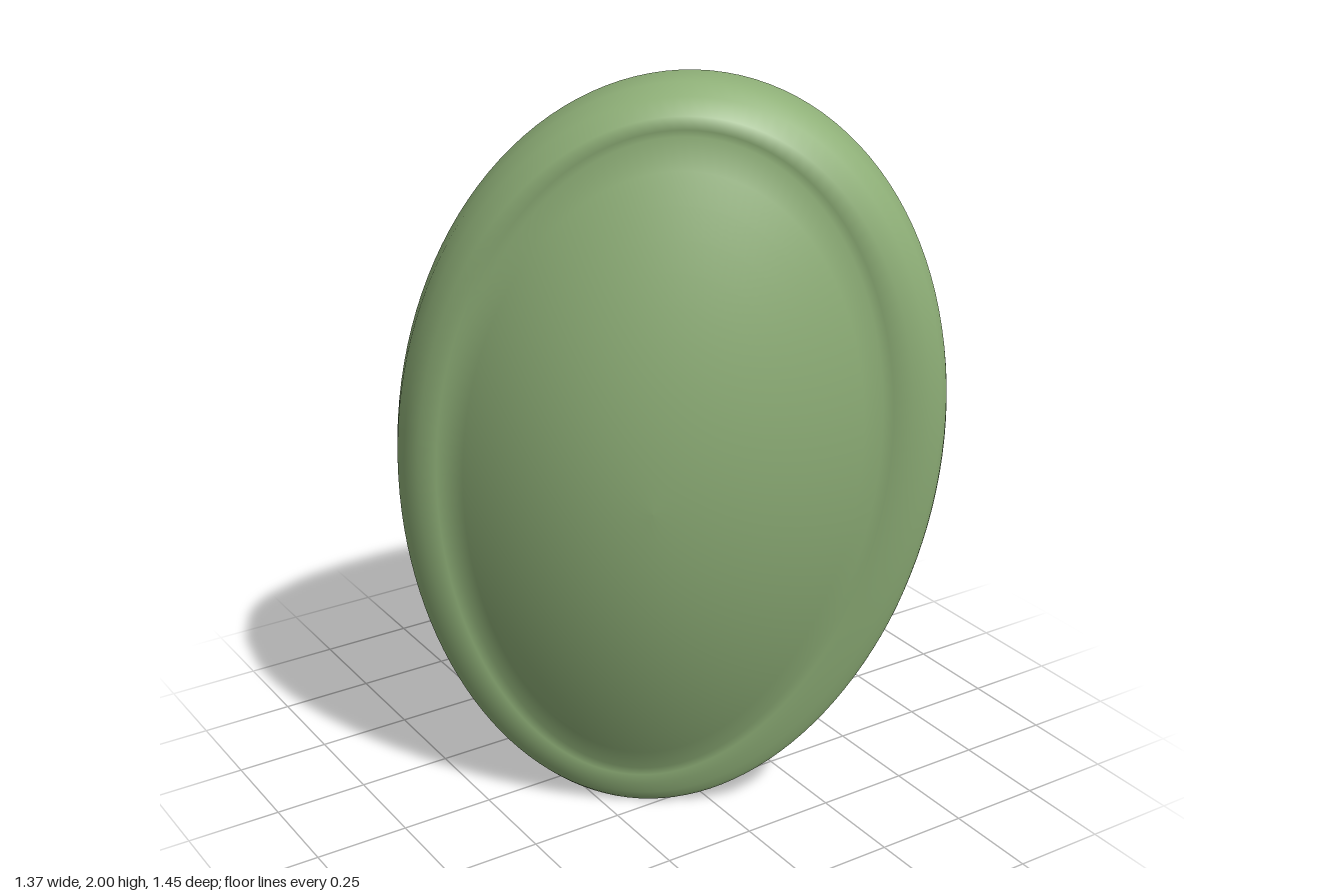
import * as THREE from 'three';

const COLS = 128;
const START = -0.41; // angle on the dish rim where the hood opening begins
const V = (u, y, w) => new THREE.Vector3(u, y, w);
const { lerp } = THREE.MathUtils;

// Working frame: u runs across the dish, y is up, w runs from the dish to the hood tip.
const toWorld = p => V(0.78 * p.x + 0.62 * p.z, p.y, 0.62 * p.x - 0.78 * p.z);

// Point of the egg-shaped dish at angle a and radius r (0 centre, 1 rim), half width h.
function dish(a, r, h = 0.68) {
  const y = 1 + r * Math.sin(a);
  return V(0.02 + 0.07 * y + h * r * (1 + 0.05 * Math.sin(a)) * Math.cos(a), y, 0);
}
const creaseW = p => -0.3 - 0.1 * p.y + 0.06 * p.x;

// Rear edge of the dish rim, where the hood starts.
function rim(a) {
  const p = dish(a, 1);
  return p.setZ(-0.27 - 0.03 * p.y);
}

// Lower edge of the hood; along the bottom of the dish it stays near the rim.
function edge(a) {
  const f = (a - START) / (Math.PI - 2 * START) * Math.PI;
  if (f <= 0 || f >= Math.PI) {
    const p = rim(a), k = Math.abs(Math.cos(a)) / Math.cos(START);
    return p.setZ(p.z + 0.03 + 0.14 * k * k);
  }
  const c = Math.cos(f), s = Math.sin(f);
  const lift = Math.sin(Math.PI / 2 * Math.min(1, f / 0.22, (Math.PI - f) / 0.22));
  const arch = 0.2 * Math.max(0, -c) * Math.sqrt(s);
  return V(
    0.055 * (1 - s) + 0.615 * Math.sign(c) * Math.abs(c) ** 1.1,
    0.6 + (0.14 - 0.16 * s) * lift + arch,
    -0.12 + 0.9 * s);
}

// One rib: front face, rolled rim, hood outside, lip, hood inside, inner face.
function rib(a) {
  const pts = [];
  // domed front face
  for (let i = 0; i <= 12; i++) {
    const k = i / 12, p = dish(a, 0.88 * k, 0.6);
    pts.push(p.setZ(creaseW(p) - 0.22 * (1 - k * k)));
  }
  // rolled rim
  const R = rim(a), E = edge(a);
  for (const [r, h, t] of [[0.9, 0.615, -0.1], [0.93, 0.645, -0.03], [0.965, 0.665, 0.25], [0.988, 0.676, 0.6]]) {
    const p = dish(a, r, h);
    pts.push(p.setZ(lerp(creaseW(p), R.z, t)));
  }
  // hood slope, then its rounded end
  const drop = Math.max(0, R.y - E.y), d = R.distanceTo(E);
  const from = (k, dy, dw) => V(lerp(E.x, R.x, k), E.y + dy * drop, E.z + dw * drop);
  const K = from(0.12, 0.22, 0);
  const slope = new THREE.CubicBezierCurve3(
    R,
    V(R.x + 0.02 * Math.cos(a), R.y - 0.09 * drop, R.z + 0.14 * d),
    from(0.5, 0.45, -0.19),
    K);
  const end = new THREE.QuadraticBezierCurve3(K, from(0.03, 0.09, 0.06), E);
  const outer = [...slope.getPoints(20), ...end.getPoints(8).slice(1)];
  const core = V(0.05, 0.95, -0.05);
  const inward = (p, t) => p.clone().add(core.clone().sub(p).setLength(t));
  const inner = outer.map(p => inward(p, 0.055)).reverse();
  pts.push(...outer);
  // rounded lip
  const lip = inward(E, 0.028);
  lip.y -= 0.012 * Math.min(1, d * 4);
  lip.z += 0.015;
  pts.push(lip, ...inner);
  // hollow inner face
  const last = inner[inner.length - 1];
  for (let i = 11; i >= 0; i--) {
    const k = i / 12, p = dish(a, 0.93 * k);
    pts.push(p.setZ(lerp(-0.55 + 0.06 * p.x - 0.06 * (p.y - 1), last.z, k * k)));
  }
  return pts;
}

function shellGeometry() {
  const pos = [], index = [];
  let rows = 0;
  for (let j = 0; j < COLS; j++) {
    const pts = rib(-Math.PI / 2 + (j / COLS) * Math.PI * 2);
    rows = pts.length;
    for (const p of pts) pos.push(...toWorld(p).toArray());
  }
  for (let j = 0; j < COLS; j++) {
    const a = j * rows, b = ((j + 1) % COLS) * rows;
    for (let i = 0; i < rows - 1; i++) {
      index.push(a + i, a + i + 1, b + i + 1, a + i, b + i + 1, b + i);
    }
  }
  const g = new THREE.BufferGeometry();
  g.setAttribute('position', new THREE.Float32BufferAttribute(pos, 3));
  g.setIndex(index);
  g.computeVertexNormals();
  // centre on x and z, stand on the ground
  g.computeBoundingBox();
  const c = g.boundingBox.getCenter(new THREE.Vector3());
  g.translate(-c.x, -g.boundingBox.min.y, -c.z);
  return g;
}

export function createModel() {
  const group = new THREE.Group();
  group.name = 'hoodedDish';
  const material = new THREE.MeshStandardMaterial({ color: 0x8fb078, side: THREE.DoubleSide });
  const shell = new THREE.Mesh(shellGeometry(), material);
  shell.name = 'hoodedShell';
  group.add(shell);
  return group;
}
